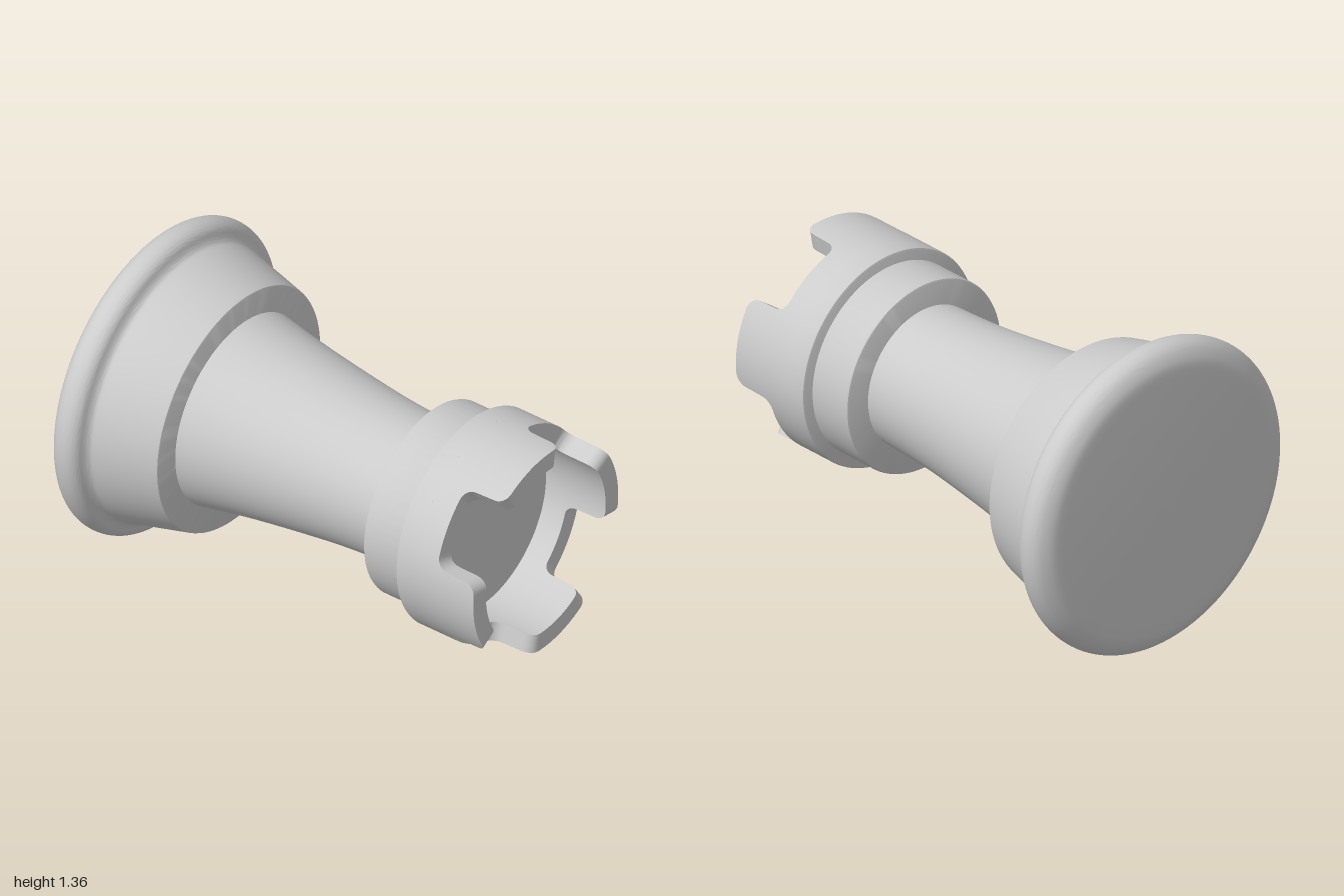
import * as THREE from 'three';
import { toCreasedNormals } from 'three/addons/utils/BufferGeometryUtils.js';

const AXIS_Y = 0.68;
const OUTER = 0.472, INNER = 0.39;   // battlement wall radii
const FLOOR = 0.7, NOTCH = 0.81, TOP = 1;
const material = new THREE.MeshStandardMaterial({ color: 0xcccccc });

const v2 = (points) => points.map(([r, z]) => new THREE.Vector2(r, z));

// Turned part: [radius, z] profile revolved about the z axis
function turned(name, profile) {
  const lathe = new THREE.LatheGeometry(profile, 128).rotateX(Math.PI / 2);
  const mesh = new THREE.Mesh(toCreasedNormals(lathe, 0.6), material);
  mesh.name = name;
  return mesh;
}

// Ring with slightly softened outer edges
function ring(name, r, z0, z1, bevel = 0.01) {
  return turned(name, v2([
    [0, z0], [r - bevel, z0], [r - bevel * 0.3, z0 + bevel * 0.3], [r, z0 + bevel],
    [r, z1 - bevel], [r - bevel * 0.3, z1 - bevel * 0.3], [r - bevel, z1], [0, z1],
  ]));
}

// Top edge of the battlements as [angle, z], with filleted merlon corners
function battlementPath() {
  const f = 0.05, fa = f / OUTER, lean = 0.003, steps = 6, path = [];
  const edge = [];
  for (let i = 0; i <= steps; i++) {
    const t = (i / steps) * Math.PI / 2;
    edge.push([-lean - fa * (1 - Math.sin(t)), NOTCH + f * (1 - Math.cos(t))]);
  }
  for (let i = 0; i <= steps; i++) {
    const t = (i / steps) * Math.PI / 2;
    edge.push([lean + fa * (1 - Math.cos(t)), TOP - f + f * Math.sin(t)]);
  }
  const run = (from, to, z) => {
    for (let i = 1; i < 12; i++) path.push([from + (to - from) * i / 12, z]);
  };
  const deg = THREE.MathUtils.degToRad, e = fa + lean;
  for (let k = 0; k < 4; k++) {
    const start = deg(-12 + 90 * k), end = deg(35 + 90 * k), next = deg(78 + 90 * k);
    edge.forEach(([a, z]) => path.push([start + a, z]));
    run(start + e, end - e, TOP);
    [...edge].reverse().forEach(([a, z]) => path.push([end - a, z]));
    run(end + e, next - e, NOTCH);
  }
  return path;
}

// Notched wall: one rectangular cross-section per path point, joined around the ring
function battlements() {
  const path = battlementPath(), pos = [], index = [];
  path.forEach(([a, z]) => {
    [[OUTER, FLOOR], [OUTER, z], [INNER, z], [INNER, FLOOR]].forEach(([r, h]) =>
      pos.push(r * Math.cos(a), r * Math.sin(a), h));
  });
  for (let i = 0; i < path.length; i++) {
    const n = (i + 1) % path.length;
    for (let j = 0; j < 3; j++) {
      const a = i * 4 + j, b = n * 4 + j;
      index.push(a, b, b + 1, a, b + 1, a + 1);
    }
  }
  const geo = new THREE.BufferGeometry();
  geo.setAttribute('position', new THREE.Float32BufferAttribute(pos, 3));
  geo.setIndex(index);
  const mesh = new THREE.Mesh(toCreasedNormals(geo, 0.6), material);
  mesh.name = 'battlements';
  return mesh;
}

export function createModel() {
  const model = new THREE.Group();
  model.name = 'rook';
  const piece = new THREE.Group();
  piece.name = 'turnedPiece';
  piece.position.y = AXIS_Y;
  model.add(piece);

  // Foot: rounded rim flowing into a tapered collar
  const rim = new THREE.SplineCurve(v2([
    [0.55, -1], [0.605, -0.995], [0.65, -0.973], [0.673, -0.945], [0.68, -0.912],
    [0.673, -0.878], [0.653, -0.855], [0.622, -0.843], [0.602, -0.828], [0.594, -0.8],
  ])).getPoints(40);
  piece.add(turned('foot', [
    ...v2([[0, -1]]), ...rim,
    ...v2([[0.534, -0.552], [0.531, -0.545], [0.524, -0.542], [0, -0.542]]),
  ]));

  // Flared shaft
  const flare = new THREE.SplineCurve(v2([
    [0.42, -0.56], [0.375, -0.3], [0.336, 0], [0.317, 0.2], [0.307, 0.42],
  ])).getPoints(30);
  piece.add(turned('shaft', flare));

  // Neck ring and cup below the battlements
  piece.add(ring('neckRing', 0.42, 0.405, 0.62));
  piece.add(turned('cup', v2([
    [0, 0.608], [OUTER - 0.01, 0.608], [OUTER - 0.003, 0.611], [OUTER, 0.618],
    [OUTER, FLOOR], [0, FLOOR],
  ])));
  piece.add(battlements());
  return model;
}
